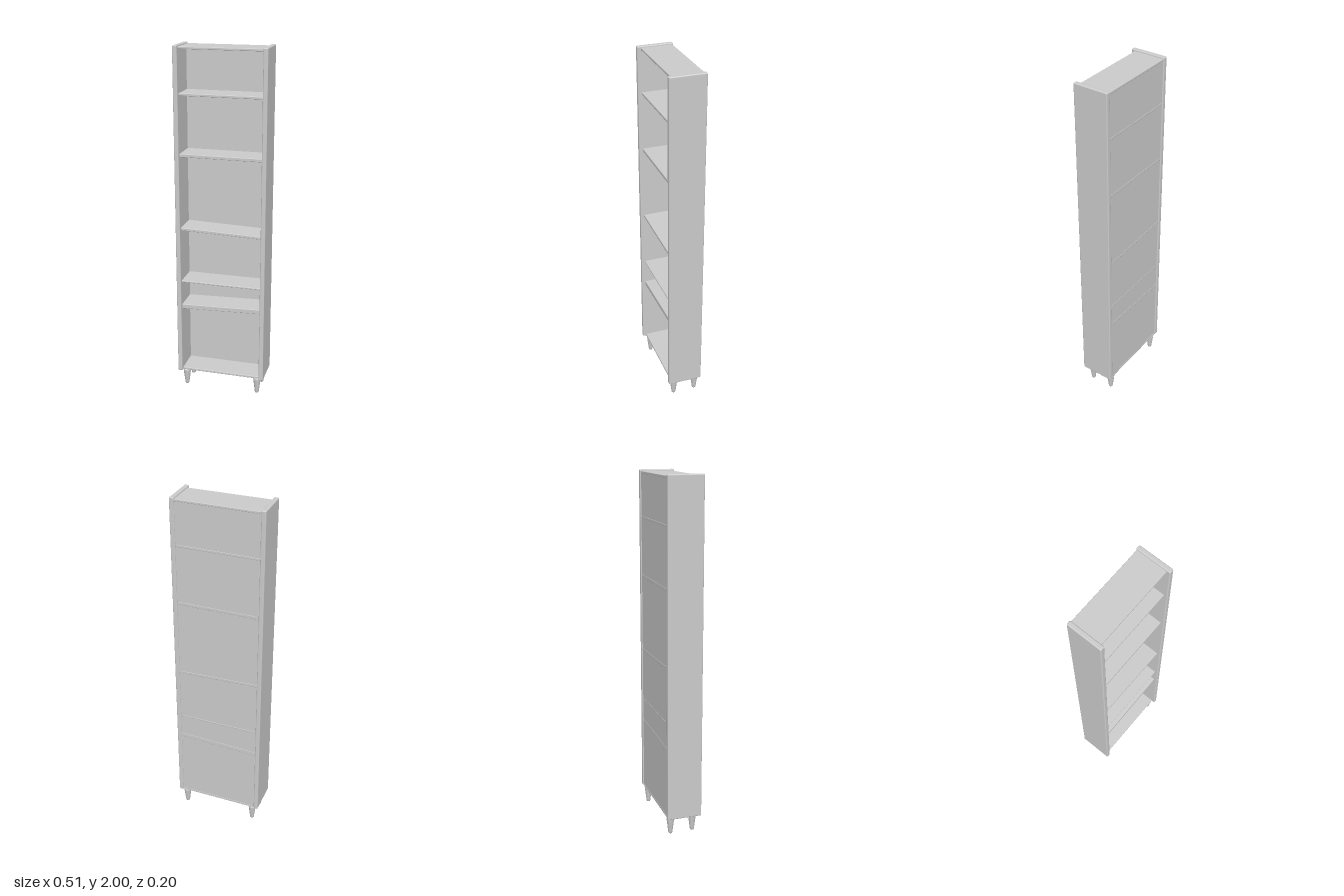
import * as THREE from 'three';
import { RoundedBoxGeometry } from 'three/addons/geometries/RoundedBoxGeometry.js';

const grey = new THREE.MeshStandardMaterial({ color: 0xcccccc });

export function createModel() {
  const model = new THREE.Group();
  model.name = 'bookcase';

  const add = (name, geometry, x, y, z, tilt = 0) => {
    const mesh = new THREE.Mesh(geometry, grey);
    mesh.name = name;
    mesh.position.set(x, y, z);
    mesh.rotation.z = tilt;
    model.add(mesh);
  };

  // Tall side panels with softened edges
  for (const [side, s] of [['left', 1], ['right', -1]]) {
    add(`${side}SidePanel`, new RoundedBoxGeometry(0.026, 1.9, 0.2, 3, 0.006), s * 0.244, 1.05, 0);
  }

  // Back panel, set just inside the rear edges
  add('backPanel', new THREE.BoxGeometry(0.466, 1.882, 0.025), 0, 1.043, -0.0815);

  // Top, bottom and shelves: name, centre height, thickness, tilt
  const boards = [
    ['topBoard', 1.986, 0.013, 0],
    ['upperShelf', 1.741, 0.014, 0],
    ['secondShelf', 1.408, 0.018, 0],
    ['middleShelf', 0.977, 0.016, -0.03],
    ['thinShelf', 0.666, 0.01, 0],
    ['lowerShelf', 0.518, 0.026, 0.036],
    ['bottomBoard', 0.107, 0.014, 0],
  ];
  for (const [name, y, thickness, tilt] of boards) {
    add(name, new RoundedBoxGeometry(0.466, thickness, 0.175, 2, 0.003), 0, y, -0.0075, tilt);
  }

  // Tapered round legs
  const profile = [[0, 0], [0.009, 0], [0.0115, 0.004], [0.013, 0.015], [0.0215, 0.085], [0.023, 0.102], [0, 0.102]]
    .map(([r, y]) => new THREE.Vector2(r, y));
  const legGeometry = new THREE.LatheGeometry(profile, 24);
  for (const [side, s] of [['Left', 1], ['Right', -1]]) {
    add(`front${side}Leg`, legGeometry, s * 0.214, 0, 0.058);
    add(`back${side}Leg`, legGeometry, s * 0.214, 0, -0.072);
  }

  return model;
}
